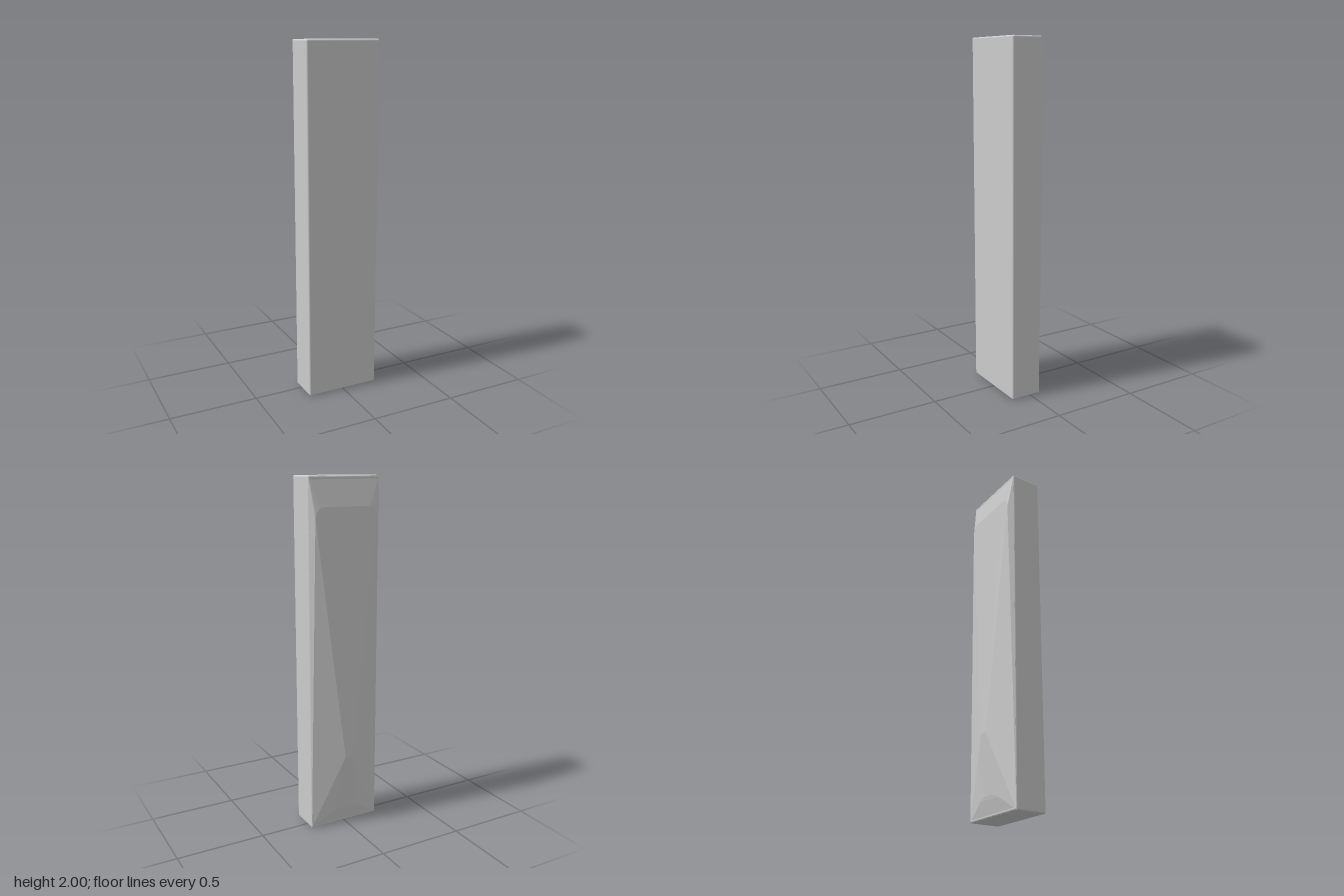
import * as THREE from 'three';
import { RoundedBoxGeometry } from 'three/addons/geometries/RoundedBoxGeometry.js';
import { ConvexGeometry } from 'three/addons/geometries/ConvexGeometry.js';

const WIDTH = 0.43, HEIGHT = 2, FRONT = 0.119, RIM = -0.063;

export function createModel() {
  const group = new THREE.Group();
  group.name = 'facetedSlab';
  const material = new THREE.MeshStandardMaterial({ color: 0xcccccc });

  // Plain slab with softly rounded edges
  const slab = new THREE.Mesh(
    new RoundedBoxGeometry(WIDTH, HEIGHT, FRONT - RIM, 3, 0.009), material);
  slab.name = 'slab';
  slab.position.set(0, HEIGHT / 2, (FRONT + RIM) / 2);
  group.add(slab);

  // Faceted back: convex skin over mirrored points
  const points = [];
  const pair = (x, y, z) => {
    for (const s of [1, -1]) points.push(new THREE.Vector3(s * x, y, z));
  };
  const halfWidth = WIDTH / 2 - 0.002;
  // Rim, sunk slightly into the slab
  for (const y of [0.002, HEIGHT - 0.002]) {
    pair(halfWidth, y, -0.05);
    pair(halfWidth, y, -0.06);
  }
  // Upper ledge with rounded corners, lying on the plane that rises to the peak
  for (let i = 0; i <= 5; i++) {
    const a = (i / 5) * Math.PI / 2;
    const y = 1.78 + 0.06 * Math.sin(a);
    pair(0.135 + 0.053 * Math.cos(a), y, -0.087 - 0.024 * (1.84 - y));
  }
  // Peak low on the back
  pair(0.022, 0.43, -0.121);
  // Lower lip, curving towards the bottom corners
  pair(0.035, 0.105, -0.086);
  pair(0.085, 0.085, -0.082);

  const back = new THREE.Mesh(new ConvexGeometry(points), material);
  back.name = 'facetedBack';
  group.add(back);
  return group;
}
